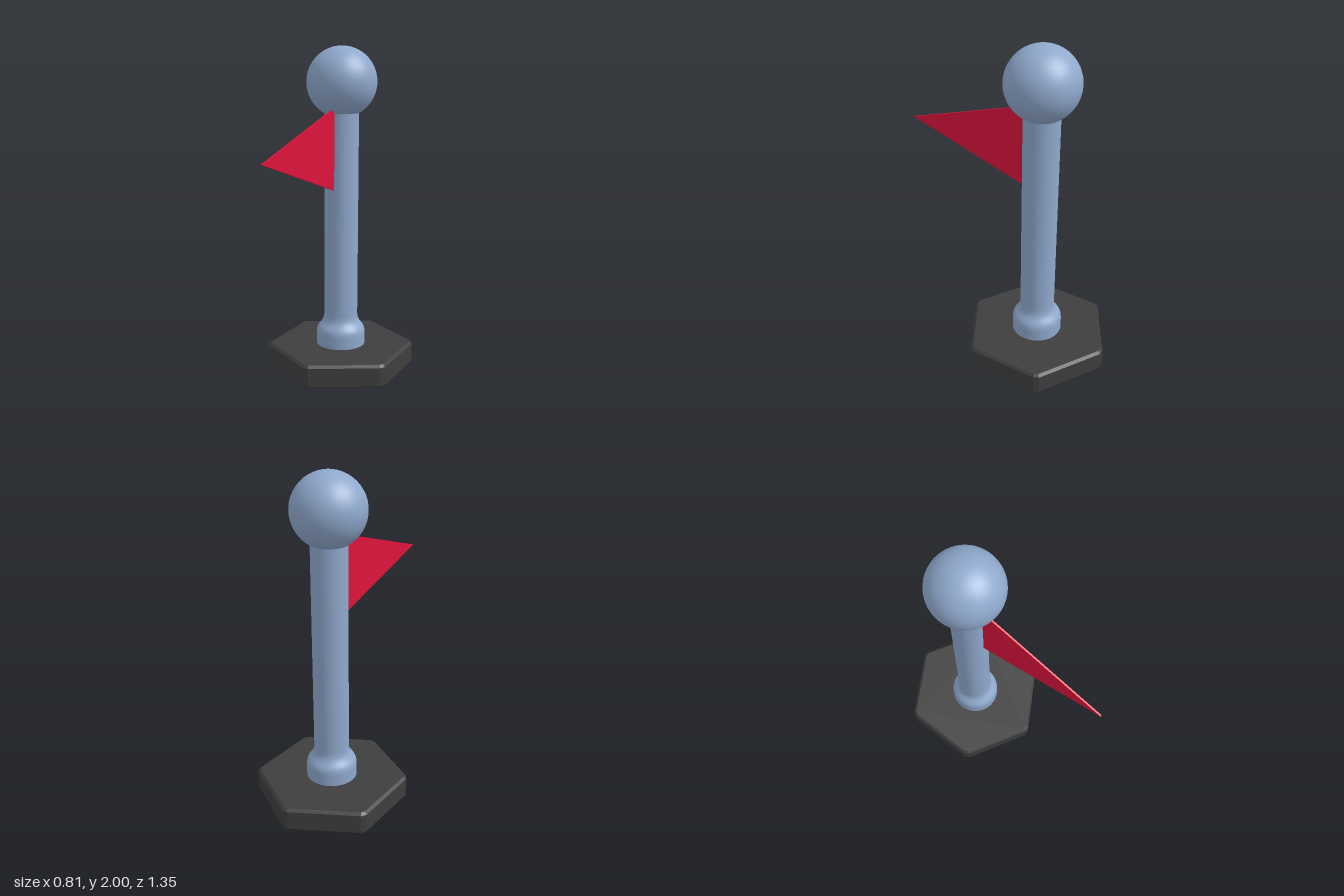
import * as THREE from 'three';

const POST_Z = -0.217;

function part(name, geometry, color) {
  const mesh = new THREE.Mesh(geometry, new THREE.MeshStandardMaterial({ color }));
  mesh.name = name;
  return mesh;
}

// Hexagon with its small corners cut off, pointing along the second axis
function hexShape(apothem, tip) {
  const radius = apothem / Math.cos(Math.PI / 6);
  const cut = (radius - tip) * Math.tan(Math.PI / 3);
  const points = [];
  for (let i = 0; i < 6; i++) {
    const a = Math.PI / 2 + (i * Math.PI) / 3;
    for (const s of [-cut, cut]) {
      points.push(new THREE.Vector2(
        tip * Math.cos(a) - s * Math.sin(a),
        tip * Math.sin(a) + s * Math.cos(a)));
    }
  }
  return new THREE.Shape(points);
}

export function createModel() {
  const model = new THREE.Group();
  model.name = 'flagPost';

  // Chamfered hexagonal base
  const bevel = 0.015, baseHeight = 0.145;
  const base = new THREE.ExtrudeGeometry(hexShape(0.39, 0.443), {
    depth: baseHeight - 2 * bevel, bevelEnabled: true,
    bevelSize: bevel, bevelThickness: bevel, bevelSegments: 1,
  });
  base.translate(0, 0, bevel).rotateX(-Math.PI / 2).translate(0, 0, POST_Z);
  model.add(part('base', base, 0x3e3e3e));

  // Post with a rounded collar at the foot and a small flare under the ball
  const profile = new THREE.Path();
  profile.moveTo(0.153, 0.12);
  profile.lineTo(0.153, 0.205);
  profile.bezierCurveTo(0.153, 0.245, 0.145, 0.255, 0.129, 0.275);
  profile.bezierCurveTo(0.113, 0.295, 0.105, 0.31, 0.105, 0.35);
  profile.lineTo(0.105, 1.59);
  profile.bezierCurveTo(0.105, 1.62, 0.112, 1.635, 0.15, 1.645);
  const post = new THREE.LatheGeometry(profile.getPoints(8), 48);
  post.translate(0, 0, POST_Z);
  model.add(part('post', post, 0x8fa8cc));

  // Ball finial
  const ball = new THREE.SphereGeometry(0.213, 48, 32);
  ball.translate(0, 1.787, POST_Z);
  model.add(part('ball', ball, 0x8fa8cc));

  // Thin pennant pointing forward
  const pennant = new THREE.Shape([
    new THREE.Vector2(0.12, 1.14),
    new THREE.Vector2(-0.675, 1.387),
    new THREE.Vector2(0.12, 1.637),
  ]);
  const flag = new THREE.ExtrudeGeometry(pennant, { depth: 0.01, bevelEnabled: false });
  flag.translate(0, 0, -0.005).rotateY(Math.PI / 2);
  model.add(part('flag', flag, 0xdc143c));

  return model;
}
